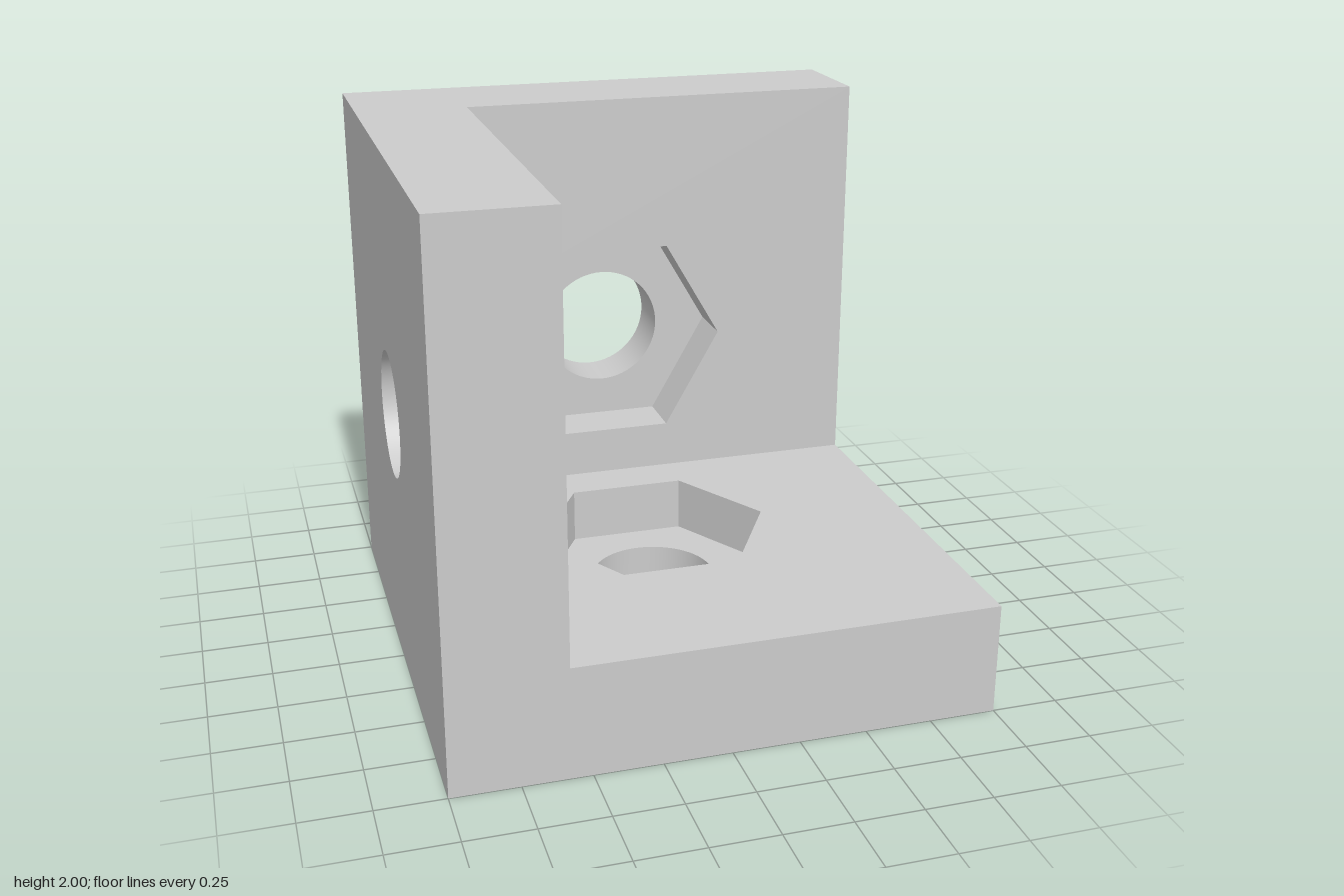
import * as THREE from 'three';

const IN = -0.575;    // inner wall surface
const LEDGE = -0.785; // bottom of the nut recess
const HOLE_R = 0.237, HEX_R = 0.449;

const material = new THREE.MeshStandardMaterial({ color: 0xcccccc });

// Points of a regular polygon
const ngon = (n, r, a = 0) => Array.from({ length: n }, (_, i) => {
  const t = a + (i / n) * Math.PI * 2;
  return new THREE.Vector2(r * Math.cos(t), r * Math.sin(t));
});

const shape = (pts, hole) => {
  const s = new THREE.Shape(pts);
  if (hole) s.holes.push(new THREE.Path(hole));
  return s;
};

const square = (lo, hi) => [[lo, lo], [hi, lo], [hi, hi], [lo, hi]].map(p => new THREE.Vector2(...p));

// Inward-facing wall of a hole along z
function bore(r, sides, start, z0, z1, faceted) {
  let g = new THREE.CylinderGeometry(r, r, z1 - z0, sides, 1, true, start + Math.PI / 2);
  g.rotateX(Math.PI / 2).scale(-1, 1, 1).translate(0, 0, (z0 + z1) / 2);
  if (faceted) g = g.toNonIndexed();
  g.computeVertexNormals();
  return g;
}

// One wall of the corner, built with its inner side facing +z
function createWall(name, hexAngle) {
  const wall = new THREE.Group();
  wall.name = name;
  const add = (part, geometry) => {
    const m = new THREE.Mesh(geometry, material);
    m.name = part;
    wall.add(m);
  };
  const circle = ngon(64, HOLE_R), hex = ngon(6, HEX_R, hexAngle);

  add('outerFace', new THREE.ShapeGeometry(shape(square(-1, 1), circle)).rotateY(Math.PI).translate(0, 0, -1));
  add('innerFace', new THREE.ShapeGeometry(shape(square(IN, 1), hex)).translate(0, 0, IN));
  add('recessFloor', new THREE.ShapeGeometry(shape(hex, circle)).translate(0, 0, LEDGE));
  add('boltHole', bore(HOLE_R, 64, 0, -1, LEDGE, false));
  add('hexRecess', bore(HEX_R, 6, hexAngle, LEDGE, IN, true));

  // L-shaped end of the two neighbouring walls
  const rim = [[-1, -1], [1, -1], [1, IN], [IN, IN], [IN, 1], [-1, 1]].map(p => new THREE.Vector2(...p));
  add('rim', new THREE.ShapeGeometry(shape(rim)).translate(0, 0, 1));
  return wall;
}

export function createModel() {
  const model = new THREE.Group();
  model.name = 'cornerBracket';
  const X = new THREE.Vector3(1, 0, 0), Y = new THREE.Vector3(0, 1, 0), Z = new THREE.Vector3(0, 0, 1);

  // The same wall turned cyclically onto the three axes
  const walls = [
    ['backWall', 0, X, Y, Z],
    ['sideWall', Math.PI / 2, Y, Z, X],
    ['floorWall', Math.PI / 2, Z, X, Y],
  ];
  for (const [name, hexAngle, u, v, n] of walls) {
    const wall = createWall(name, hexAngle);
    wall.quaternion.setFromRotationMatrix(new THREE.Matrix4().makeBasis(u, v, n));
    wall.position.y = 1;
    model.add(wall);
  }
  return model;
}
